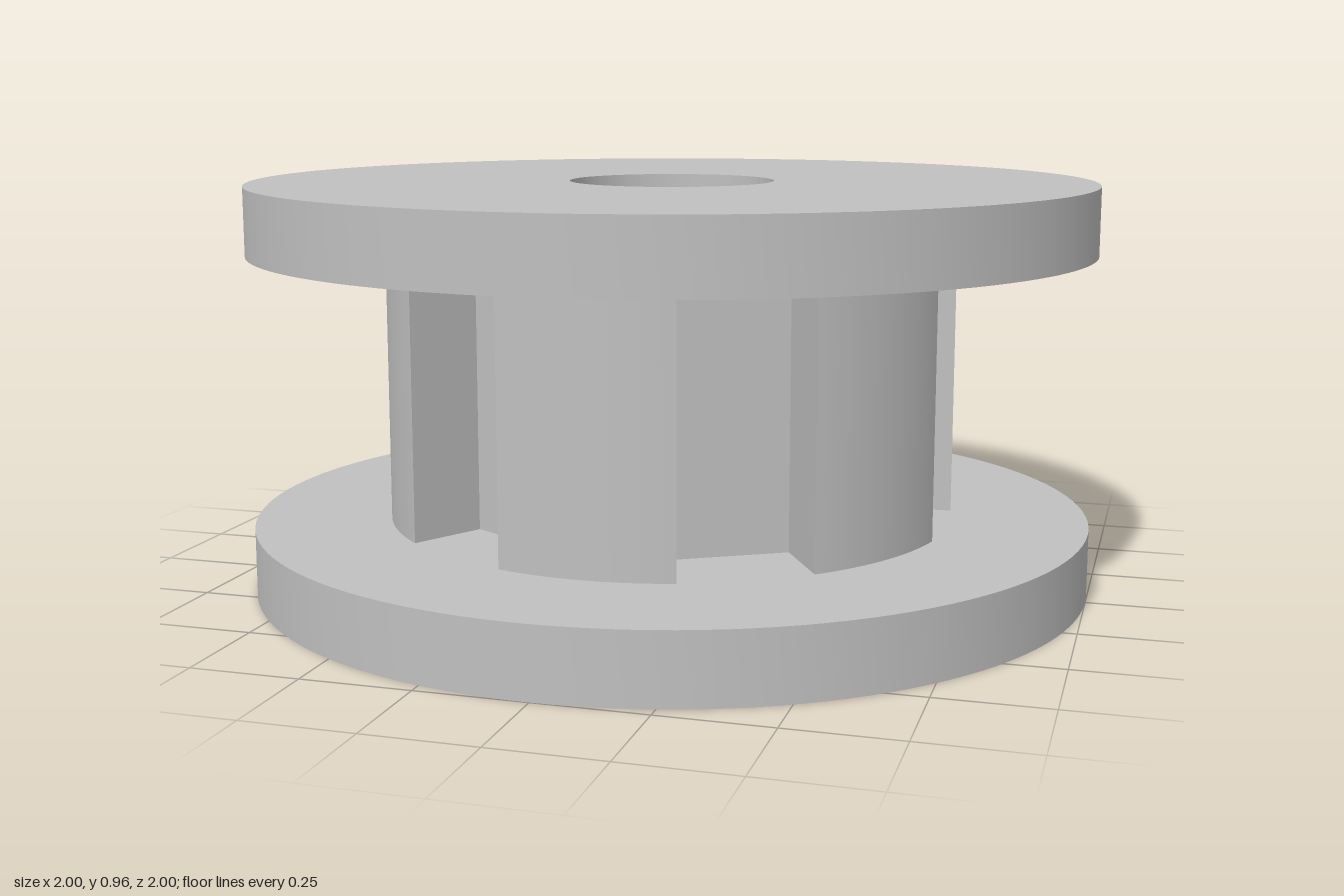
import * as THREE from 'three';
import { toCreasedNormals } from 'three/addons/utils/BufferGeometryUtils.js';

const BORE = 0.243, FLANGE = 1, FLANGE_H = 0.16, CORE_H = 0.64;
const TOOTH_R = 0.68, FLOOR = 0.477, TEETH = 6;
const HALF_TOOTH = THREE.MathUtils.degToRad(17.1);

// Extrude a plan outline upwards from y, with the shaft bore cut through it
function plate(name, shape, y, height, segments, material) {
  const bore = new THREE.Path();
  bore.absarc(0, 0, BORE, 0, Math.PI * 2, true);
  shape.holes.push(bore);
  let geo = new THREE.ExtrudeGeometry(shape, { depth: height, bevelEnabled: false, curveSegments: segments });
  geo.rotateX(-Math.PI / 2);
  geo.translate(0, y, 0);
  geo = toCreasedNormals(geo, 0.3);
  const mesh = new THREE.Mesh(geo, material);
  mesh.name = name;
  return mesh;
}

function discShape() {
  const s = new THREE.Shape();
  s.absarc(0, 0, FLANGE, 0, Math.PI * 2, false);
  return s;
}

// Six rounded teeth separated by parallel-sided, flat-bottomed slots
function coreShape() {
  const s = new THREE.Shape();
  const step = (Math.PI * 2) / TEETH;
  const halfSlot = TOOTH_R * Math.sin(step / 2 - HALF_TOOTH);
  for (let i = 0; i < TEETH; i++) {
    const a = Math.PI / 6 + i * step;
    const start = a - HALF_TOOTH, end = a + HALF_TOOTH;
    if (i === 0) s.moveTo(TOOTH_R * Math.cos(start), TOOTH_R * Math.sin(start));
    s.absarc(0, 0, TOOTH_R, start, end, false);
    const m = a + step / 2, c = Math.cos(m), n = Math.sin(m);
    s.lineTo(FLOOR * c + halfSlot * n, FLOOR * n - halfSlot * c);
    s.lineTo(FLOOR * c - halfSlot * n, FLOOR * n + halfSlot * c);
  }
  s.closePath();
  return s;
}

export function createModel() {
  const grey = new THREE.MeshStandardMaterial({ color: 0xc0c0c0 });
  grey.name = 'plain grey';
  const group = new THREE.Group();
  group.name = 'slottedSpool';
  group.add(
    plate('lowerFlange', discShape(), 0, FLANGE_H, 64, grey),
    plate('toothedCore', coreShape(), FLANGE_H, CORE_H, 32, grey),
    plate('upperFlange', discShape(), FLANGE_H + CORE_H, FLANGE_H, 64, grey)
  );
  return group;
}
